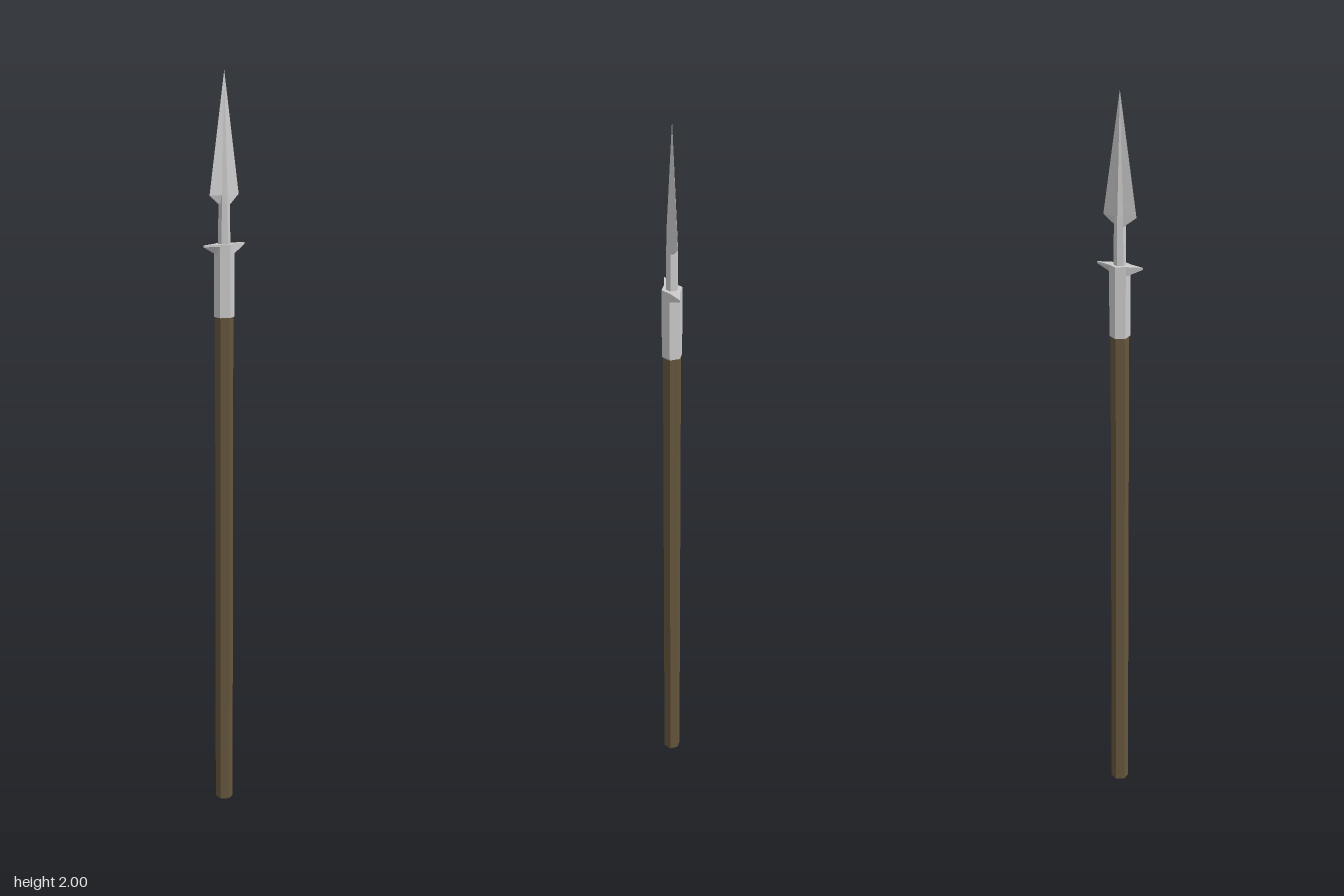
import * as THREE from 'three';

const steel = new THREE.MeshStandardMaterial({ color: 0xcccccc, flatShading: true });
const wood = new THREE.MeshStandardMaterial({ color: 0x66563d, flatShading: true });

// Hexagonal section with ridges on z; the middle of each side face can be drawn out to x = edge.
function section([y, r, edge = r * 0.866]) {
  const hx = r * 0.866, hz = r * 0.5;
  return [[0, r], [hx, hz], [edge, 0], [hx, -hz], [0, -r], [-hx, -hz], [-edge, 0], [-hx, hz]]
    .map(([x, z]) => [x, y, z]);
}

// Skin a stack of sections, from the bottom up.
function loft(name, levels) {
  const rings = levels.map(section);
  const pos = [];
  for (let k = 0; k < rings.length - 1; k++) {
    for (let i = 0; i < 8; i++) {
      const j = (i + 1) % 8;
      const a = rings[k][i], b = rings[k][j], c = rings[k + 1][j], d = rings[k + 1][i];
      if (levels[k][1] > 0) pos.push(...a, ...b, ...c);
      if (levels[k + 1][1] > 0) pos.push(...a, ...c, ...d);
    }
  }
  const geo = new THREE.BufferGeometry();
  geo.setAttribute('position', new THREE.Float32BufferAttribute(pos, 3));
  geo.computeVertexNormals();
  const mesh = new THREE.Mesh(geo, steel);
  mesh.name = name;
  return mesh;
}

export function createModel() {
  const spear = new THREE.Group();
  spear.name = 'spear';

  // Six-sided wooden shaft
  const shaft = new THREE.Mesh(new THREE.CylinderGeometry(0.024, 0.024, 1.4, 6), wood);
  shaft.position.y = 0.7;
  shaft.name = 'shaft';
  spear.add(shaft);

  // Socket whose side faces flare into two pointed lugs at the top
  spear.add(loft('socketWithLugs', [
    [1.375, 0.022], [1.375, 0.027], [1.54, 0.027],
    [1.56, 0.027, 0.065], [1.565, 0.027, 0.065], [1.565, 0.0]]));

  // Neck between socket and blade
  spear.add(loft('neck', [[1.56, 0.016], [1.665, 0.015]]));

  // Ridged blade, widest near its base and tapering to a point
  spear.add(loft('blade', [[1.665, 0.015], [1.69, 0.0145, 0.046], [2, 0, 0]]));

  return spear;
}
